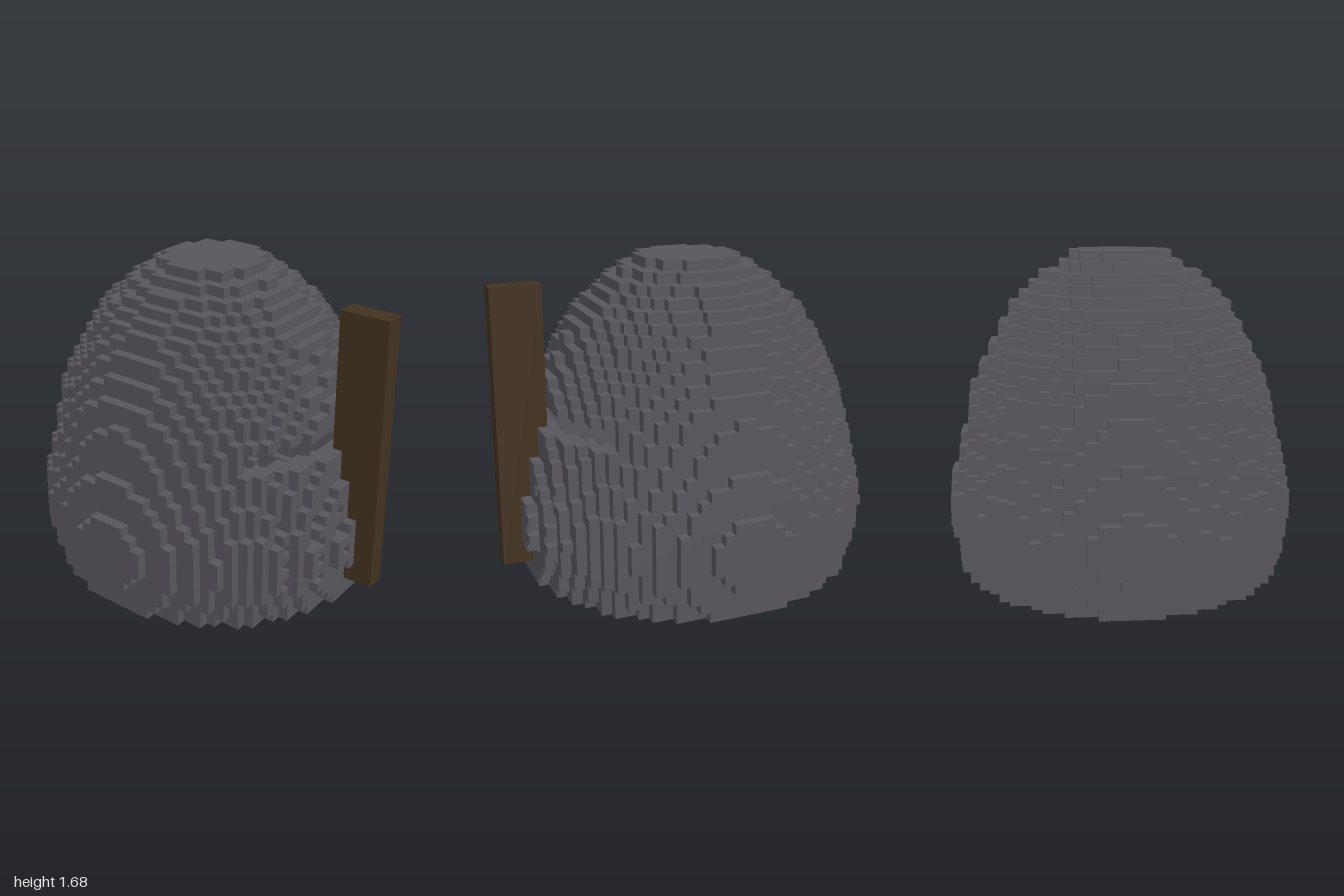
import * as THREE from 'three';

const U = 2 / 38; // size of one cube
const ROWS = 32;
const MID = 6; // widest row
const RX = 17, RZ = 18, ZC = -1; // half widths and centre in cubes
const WALL = 2;

// Relative width of the dome by rows away from the widest one
const PROFILE = [1, 0.994, 0.985, 0.976, 0.962, 0.948, 0.934, 0.92, 0.906, 0.893, 0.88, 0.867, 0.857,
  0.84, 0.812, 0.785, 0.755, 0.725, 0.696, 0.662, 0.63, 0.572, 0.515, 0.455, 0.37, 0.285];

// Bar limits in cubes: min inclusive, max exclusive
const BAR = { x: [-1, 1], y: [2, 30], z: [14, 19] };
const within = (v, [a, b]) => v >= a && v < b;
const inBar = (i, j, k) => within(i, BAR.x) && within(j, BAR.y) && within(k, BAR.z);

function inShell(i, j, k) {
  if (j < 0 || j >= ROWS) return false;
  const s = PROFILE[Math.abs(j - MID)];
  const x = i + 0.5, z = k + 0.5 - ZC;
  const inside = (rx, rz) => rx > 0 && (x / rx) ** 2 + (z / rz) ** 2 <= 1;
  if (!inside(RX * s, RZ * s)) return false;
  if (j < 30 && inside(RX * s - WALL, RZ * s - WALL)) return false;
  // Eye slit
  if (z > 0 && (j === 16 || j === 17) && i >= -10 && i < 10) return false;
  // Breathing holes
  if (z > 0 && j >= 4 && j <= 10 && j % 2 === 0 && i >= -9 && i <= 6 && i % 3 === 0) return false;
  return true;
}

// Outer faces of every filled cube
function cubeSurface(filled, skipped) {
  const positions = [], normals = [], index = [];
  const hidden = (c) => filled(...c) || skipped(...c);
  for (let j = 0; j < ROWS; j++)
    for (let i = -RX - 1; i <= RX; i++)
      for (let k = ZC - RZ - 1; k <= ZC + RZ; k++) {
        if (!filled(i, j, k) || skipped(i, j, k)) continue;
        for (let axis = 0; axis < 3; axis++)
          for (const dir of [-1, 1]) {
            const next = [i, j, k];
            next[axis] += dir;
            if (hidden(next)) continue;
            const n = [0, 0, 0];
            n[axis] = dir;
            const u = (axis + 1) % 3, v = (axis + 2) % 3;
            const base = positions.length / 3;
            for (const [a, b] of [[0, 0], [1, 0], [1, 1], [0, 1]]) {
              const p = [i, j, k];
              if (dir > 0) p[axis] += 1;
              p[u] += a;
              p[v] += b;
              positions.push(p[0] * U, p[1] * U, p[2] * U);
              normals.push(...n);
            }
            const order = dir > 0 ? [0, 1, 2, 0, 2, 3] : [0, 2, 1, 0, 3, 2];
            index.push(...order.map((o) => base + o));
          }
      }
  const g = new THREE.BufferGeometry();
  g.setAttribute('position', new THREE.Float32BufferAttribute(positions, 3));
  g.setAttribute('normal', new THREE.Float32BufferAttribute(normals, 3));
  g.setIndex(index);
  return g;
}

export function createModel() {
  const steel = new THREE.MeshStandardMaterial({ color: 0x58565d });
  steel.name = 'dark steel';
  const bronze = new THREE.MeshStandardMaterial({ color: 0x423220 });
  bronze.name = 'dark bronze';

  const model = new THREE.Group();
  model.name = 'helmet';

  // Hollow stepped dome with slit and holes
  const shell = new THREE.Mesh(cubeSurface(inShell, inBar), steel);
  shell.name = 'helmetShell';
  model.add(shell);

  // Upright bar down the face
  const size = (r) => (r[1] - r[0]) * U;
  const centre = (r) => ((r[0] + r[1]) / 2) * U;
  const bar = new THREE.Mesh(new THREE.BoxGeometry(size(BAR.x), size(BAR.y), size(BAR.z)), bronze);
  bar.position.set(centre(BAR.x), centre(BAR.y), centre(BAR.z));
  bar.name = 'faceBar';
  model.add(bar);

  return model;
}
